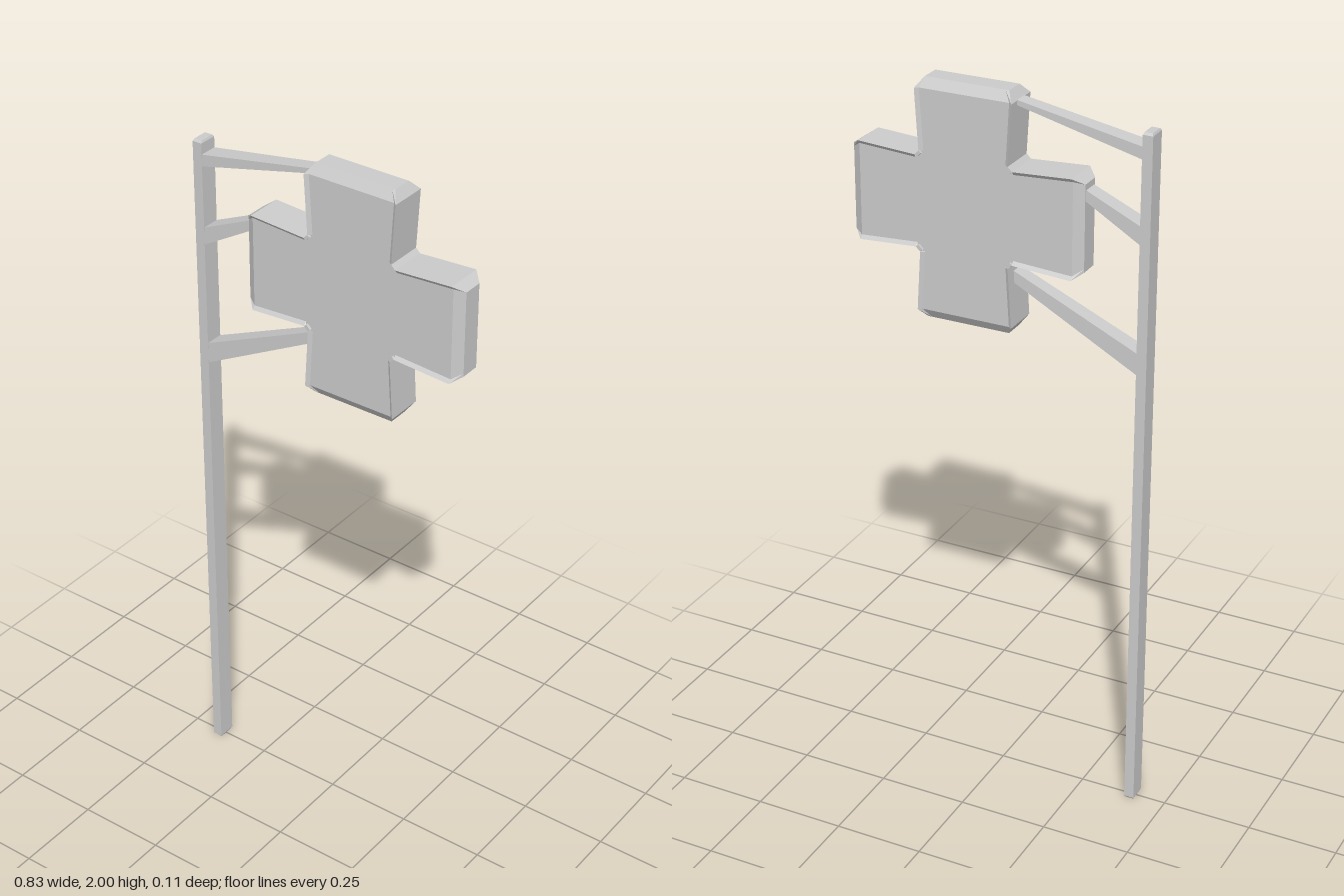
import * as THREE from 'three';

const material = new THREE.MeshStandardMaterial({ color: 0xcccccc, flatShading: true });

// Skins a list of equal-length loops (clockwise seen from the last one), with end caps.
function loft(name, loops, startCap = true) {
  const n = loops[0].length;
  const index = [];
  for (let s = 0; s < loops.length - 1; s++) {
    for (let i = 0; i < n; i++) {
      const j = (i + 1) % n;
      const a = s * n + i, b = s * n + j, c = b + n, d = a + n;
      index.push(a, c, b, a, d, c);
    }
  }
  const last = (loops.length - 1) * n;
  for (let i = 1; i < n - 1; i++) {
    index.push(last, last + i + 1, last + i);
    if (startCap) index.push(0, i, i + 1);
  }
  const indexed = new THREE.BufferGeometry();
  indexed.setAttribute('position', new THREE.Float32BufferAttribute(loops.flat(2), 3));
  indexed.setIndex(index);
  const geometry = indexed.toNonIndexed();
  geometry.computeVertexNormals();
  const mesh = new THREE.Mesh(geometry, material);
  mesh.name = name;
  return mesh;
}

// Cross-section of a sign arm: recessed faces between raised side rims.
function armLoop(r, w, rimZ, faceZ) {
  const e = w - 0.01;
  return [
    [-w, r, -rimZ], [-e, r, -faceZ], [e, r, -faceZ], [w, r, -rimZ],
    [w, r, rimZ], [e, r, faceZ], [-e, r, faceZ], [-w, r, rimZ],
  ];
}

function makeSign() {
  const sign = new THREE.Group();
  sign.name = 'crossSign';
  const inner = 0.126, start = 0.138;

  // Centre block with clipped corners
  const shape = new THREE.Shape([
    [start, inner], [inner, start], [-inner, start], [-start, inner],
    [-start, -inner], [-inner, -start], [inner, -start], [start, -inner],
  ].map(([x, y]) => new THREE.Vector2(x, y)));
  const centreGeometry = new THREE.ExtrudeGeometry(shape, { depth: 0.09, bevelEnabled: false });
  centreGeometry.translate(0, 0, -0.045);
  const centre = new THREE.Mesh(centreGeometry, material);
  centre.name = 'signCentre';
  sign.add(centre);

  // Four flared arms with tapered ends, and the rim pieces between them
  for (let k = 0; k < 4; k++) {
    const arm = loft('signArm', [
      armLoop(start, inner, 0.053, 0.045),
      armLoop(0.302, 0.136, 0.053, 0.045),
      armLoop(0.328, 0.118, 0.028, 0.028),
    ], false);
    arm.rotation.z = k * Math.PI / 2;
    sign.add(arm);

    const corner = new THREE.Mesh(new THREE.BoxGeometry(0.009, 0.017, 0.106), material);
    const angle = Math.PI / 4 + k * Math.PI / 2;
    const radius = (inner + start) / Math.SQRT2 - 0.0045;
    corner.position.set(radius * Math.cos(angle), radius * Math.sin(angle), 0);
    corner.rotation.z = angle;
    corner.name = 'cornerRim';
    sign.add(corner);
  }
  sign.position.set(0.087, 1.672, 0);
  return sign;
}

// Rectangular section of the post
function postLoop(y, hx, hz) {
  const x = -0.403;
  return [[x - hx, y, -hz], [x + hx, y, -hz], [x + hx, y, hz], [x - hx, y, hz]];
}

// Rectangular section of a bracket
function bracketLoop(x, low, high, hz) {
  return [[x, high, hz], [x, high, -hz], [x, low, -hz], [x, low, hz]];
}

export function createModel() {
  const model = new THREE.Group();
  model.name = 'hangingCrossSign';

  // Post with slightly chamfered ends
  model.add(loft('post', [
    postLoop(0, 0.011, 0.021), postLoop(0.006, 0.014, 0.026),
    postLoop(1.944, 0.014, 0.026), postLoop(1.95, 0.011, 0.021),
  ]));

  // Tapered brackets: [name, post low, post high, end x, end low, end high, end half depth]
  const brackets = [
    ['upperBracket', 1.88, 1.913, -0.04, 1.964, 1.977, 0.02],
    ['middleBracket', 1.655, 1.705, -0.235, 1.747, 1.776, 0.023],
    ['lowerBracket', 1.3, 1.36, -0.03, 1.491, 1.522, 0.02],
  ];
  for (const [name, low, high, x, endLow, endHigh, depth] of brackets) {
    model.add(loft(name, [bracketLoop(-0.392, low, high, 0.0255), bracketLoop(x, endLow, endHigh, depth)]));
  }

  model.add(makeSign());
  return model;
}
